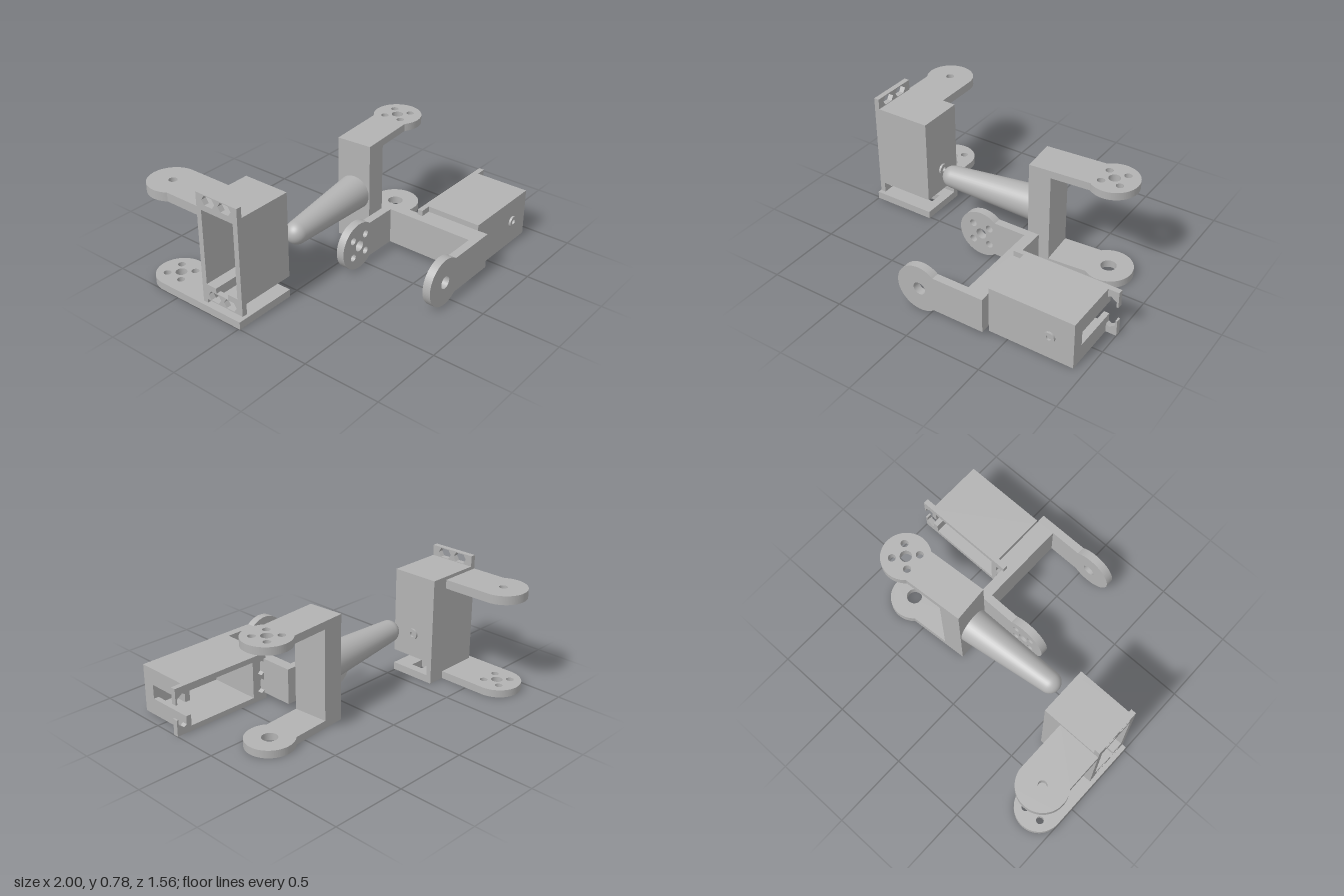
import * as THREE from 'three';

const grey = new THREE.MeshStandardMaterial({ color: 0xb3b3b3 });
grey.name = 'plain grey';

function mesh(name, geometry, parent) {
  const m = new THREE.Mesh(geometry, grey);
  m.name = name;
  parent.add(m);
  return m;
}

// Box given by its two opposite corners
function block(name, a, b, parent) {
  const m = mesh(name, new THREE.BoxGeometry(b[0] - a[0], b[1] - a[1], b[2] - a[2]), parent);
  m.position.set((a[0] + b[0]) / 2, (a[1] + b[1]) / 2, (a[2] + b[2]) / 2);
  return m;
}

const extrude = (shape, depth) =>
  new THREE.ExtrudeGeometry(shape, { depth, bevelEnabled: false, curveSegments: 32 });

const polygon = (pts) => new THREE.Shape(pts.map((p) => new THREE.Vector2(p[0], p[1])));

function circleHole(shape, x, y, r) {
  const hole = new THREE.Path();
  hole.absarc(x, y, r, 0, Math.PI * 2, true);
  shape.holes.push(hole);
}

// Joint arm: hub at the origin, strap running to x = -length
function armGeometry({ length, low, high, depth, hole, horn }) {
  const r = 0.155;
  const a = Math.asin(Math.min(1, low / r)), b = Math.asin(Math.min(1, high / r));
  const s = new THREE.Shape();
  s.moveTo(-length, -low);
  s.lineTo(-r * Math.cos(a), -low);
  s.absarc(0, 0, r, -Math.PI + a, Math.PI - b, false);
  s.lineTo(-length, high);
  s.closePath();
  circleHole(s, 0, 0, hole);
  if (horn) {
    for (let i = 0; i < 4; i++) {
      const t = Math.PI / 4 + (i * Math.PI) / 2;
      circleHole(s, 0.084 * Math.cos(t), 0.084 * Math.sin(t), 0.024);
    }
  }
  return extrude(s, depth);
}

// Flat-lying version of the arm, thickness upwards
const flatArm = (o) => armGeometry(o).rotateX(-Math.PI / 2);

// Tab with two six-sided windows
function windowTab() {
  const s = polygon([[0, -0.157], [0.07, -0.157], [0.07, 0.157], [0, 0.157]]);
  for (const c of [-0.062, 0.062]) {
    s.holes.push(polygon([[0.004, c - 0.03], [0.034, c - 0.05], [0.064, c - 0.03],
      [0.064, c + 0.03], [0.034, c + 0.05], [0.004, c + 0.03]]));
  }
  return extrude(s, 0.035);
}

// One corner of a tab whose middle is cut away
function clipTab(side) {
  const pts = [[0, 0.1], [0.02, 0.112], [0.058, 0.085], [0.058, 0.05], [0.07, 0.05],
    [0.07, 0.157], [0, 0.157]];
  return extrude(polygon(pts.map(([x, y]) => [x, y * side])), 0.035);
}

// Motor case: length on x, open towards -z, cable slot in one end
function motorCase(length, slotEnd, clipped) {
  const g = new THREE.Group();
  g.name = 'motorCase';
  const L = length / 2, W = 0.157, D = 0.2, t = 0.035;
  block('caseFloor', [-L, -W, D - t], [L, W, D], g);
  for (const s of [-1, 1]) {
    const y = s * (W - t / 2);
    block('caseSide', [-L, y - t / 2, -D], [L, y + t / 2, D - t], g);
    // End walls, slotted on one end
    const x0 = s < 0 ? -L : L - t, x1 = x0 + t;
    if (s === slotEnd) {
      block('endCheek', [x0, -W + t, -D], [x1, -0.047, D - t], g);
      block('endCheek', [x0, 0.047, -D], [x1, W - t, D - t], g);
      block('endBridge', [x0, -0.047, 0.115], [x1, 0.047, D - t], g);
    } else {
      block('endWall', [x0, -W + t, -D], [x1, W - t, D - t], g);
    }
    // Mounting tabs
    const pieces = clipped && s > 0 ? [clipTab(1), clipTab(-1)] : [windowTab()];
    for (const geo of pieces) {
      const tab = mesh('mountingTab', geo, g);
      tab.position.set(s * L, 0, s > 0 ? -D : -D + t);
      if (s < 0) tab.rotation.y = Math.PI;
    }
  }
  // Small pivot ring on the floor
  const ring = new THREE.Shape();
  ring.absarc(0, 0, 0.036, 0, Math.PI * 2, false);
  circleHole(ring, 0, 0, 0.017);
  mesh('pivotRing', extrude(ring, 0.014), g).position.set(L - 0.155, 0, D);
  return g;
}

// Upright motor holder
function hipHolder() {
  const g = new THREE.Group();
  g.name = 'uprightHolder';
  const box = motorCase(0.565, -1, false);
  box.applyMatrix4(new THREE.Matrix4().makeBasis(
    new THREE.Vector3(0, 1, 0), new THREE.Vector3(0, 0, 1), new THREE.Vector3(1, 0, 0)));
  box.position.set(-0.773, 0.4275, -0.147);
  box.children.filter((c) => c.name === 'pivotRing').forEach((c) => { c.position.x = -0.1225; });
  g.add(box);
  block('rearWall', [-0.973, 0.05, -0.304], [-0.573, 0.145, -0.269], g);
  // Foot plate with a cable hole
  const foot = polygon([[-1, -0.01], [-0.573, -0.01], [-0.573, 0.304], [-1, 0.304]]);
  foot.holes.push(polygon([[-0.73, 0.1], [-0.73, 0.18], [-0.63, 0.18], [-0.63, 0.1]]));
  mesh('footPlate', extrude(foot, 0.05).rotateX(-Math.PI / 2), g);
  const lower = mesh('lowerArm', flatArm({
    length: 0.326, low: 0.155, high: 0.155, depth: 0.05, hole: 0.036, horn: true }), g);
  const upper = mesh('upperArm', flatArm({
    length: 0.326, low: 0.155, high: 0.128, depth: 0.058, hole: 0.027 }), g);
  lower.position.set(-0.845, 0, -0.63);
  upper.position.set(-0.845, 0.63, -0.63);
  lower.rotation.y = upper.rotation.y = Math.PI / 2;
  return g;
}

// Lying motor holder with a fork
function kneeHolder() {
  const g = new THREE.Group();
  g.name = 'lyingHolder';
  const box = motorCase(0.56, 1, true);
  box.position.set(0.65, 0.158, 0.506);
  g.add(box);
  block('forkWall', [0.245, 0.042, 0.137], [0.315, 0.278, 0.722], g);
  block('forkSpacer', [0.315, 0.042, 0.341], [0.37, 0.278, 0.722], g);
  const arms = [
    ['rearForkArm', 0.385, 0.085, 0.036, true],
    ['frontForkArm', 0.442, 0.722, 0.041, false],
  ];
  for (const [name, length, z, hole, horn] of arms) {
    const arm = mesh(name, armGeometry({
      length, low: 0.118, high: 0.118, depth: 0.052, hole, horn }), g);
    arm.position.set(-0.07, 0.16, z);
    arm.rotation.z = Math.PI;
  }
  return g;
}

// Lower leg: fork with a tapered round-tipped rod
function lowerLeg() {
  const g = new THREE.Group();
  g.name = 'lowerLeg';
  g.position.set(0.68, 0, -0.145);
  g.rotation.y = THREE.MathUtils.degToRad(4.2);
  const w = 0.118;
  block('legWall', [-0.5, 0.05, -w], [-0.355, 0.645, w], g);
  mesh('lowerLegArm', flatArm({
    length: 0.5, low: w, high: w, depth: 0.05, hole: 0.05 }), g);
  mesh('upperLegArm', flatArm({
    length: 0.5, low: w, high: w, depth: 0.05, hole: 0.037, horn: true }), g).position.y = 0.645;
  const profile = [];
  for (let i = 0; i <= 10; i++) {
    const t = (i / 10) * Math.PI / 2;
    profile.push(new THREE.Vector2(0.073 * Math.sin(t), -0.073 * Math.cos(t)));
  }
  profile.push(new THREE.Vector2(0.113, 0.6));
  const rod = mesh('legRod', new THREE.LatheGeometry(profile, 40), g);
  rod.rotation.z = -Math.PI / 2;
  rod.position.set(-1.1, 0.345, 0);
  return g;
}

export function createModel() {
  const model = new THREE.Group();
  model.name = 'legKit';
  model.add(hipHolder(), kneeHolder(), lowerLeg());
  return model;
}
